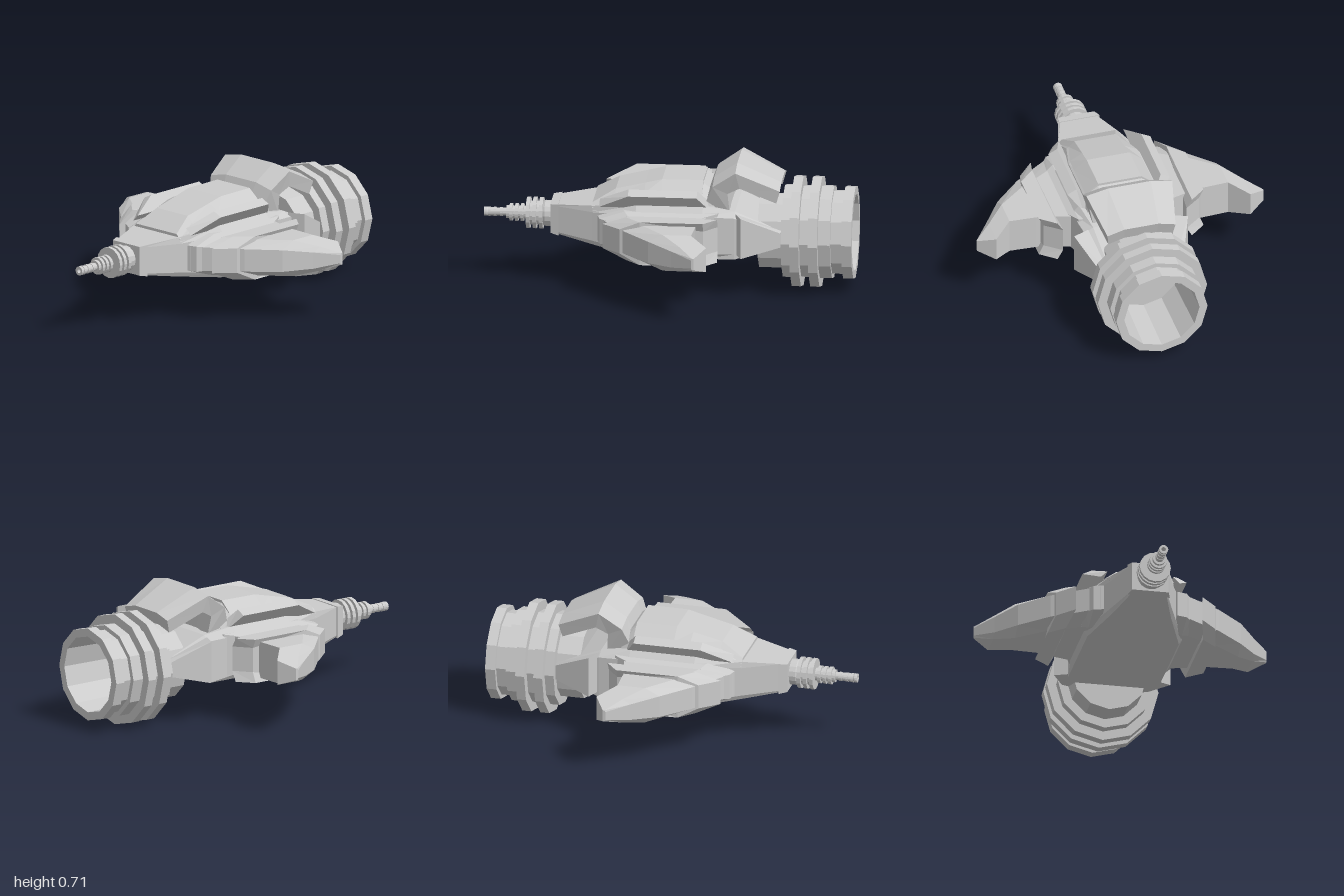
import * as THREE from 'three';

const grey = new THREE.MeshStandardMaterial({ color: 0xcccccc, flatShading: true });
const greyOpen = new THREE.MeshStandardMaterial({ color: 0xcccccc, flatShading: true, side: THREE.DoubleSide });
const black = new THREE.MeshStandardMaterial({ color: 0x080808, flatShading: true });

// Closed solid through matching loops of [x, y, z] points, turned to face outward
function loft(loops) {
  const tris = [];
  const n = loops[0].length;
  for (let i = 0; i + 1 < loops.length; i++) {
    for (let j = 0; j < n; j++) {
      const k = (j + 1) % n;
      const [a, b, c, d] = [loops[i][j], loops[i][k], loops[i + 1][k], loops[i + 1][j]];
      tris.push([a, b, c], [a, c, d]);
    }
  }
  const cap = (loop, flip) => {
    const pts = loop.map(p => new THREE.Vector3(...p));
    const normal = new THREE.Vector3();
    pts.forEach((p, i) => normal.add(p.clone().cross(pts[(i + 1) % n])));
    const axis = ['x', 'y', 'z'].reduce((m, c) => Math.abs(normal[c]) > Math.abs(normal[m]) ? c : m);
    const [u, v] = { x: ['y', 'z'], y: ['z', 'x'], z: ['x', 'y'] }[axis];
    const flat = pts.map(p => new THREE.Vector2(p[u], p[v]));
    for (const f of THREE.ShapeUtils.triangulateShape(flat, [])) {
      const t = f.map(i => loop[i]);
      const m = new THREE.Vector3();
      const [a, b, c] = f.map(i => pts[i]);
      m.crossVectors(b.clone().sub(a), c.clone().sub(a));
      const along = m.dot(normal) > 0;
      tris.push(along === flip ? [t[0], t[2], t[1]] : t);
    }
  };
  cap(loops[0], true);
  cap(loops[loops.length - 1], false);
  let volume = 0;
  for (const [a, b, c] of tris) {
    volume += new THREE.Vector3(...a).dot(new THREE.Vector3(...b).cross(new THREE.Vector3(...c)));
  }
  const flat = tris.flatMap(t => (volume < 0 ? [t[0], t[2], t[1]] : t)).flat();
  const geo = new THREE.BufferGeometry();
  geo.setAttribute('position', new THREE.Float32BufferAttribute(flat, 3));
  geo.computeVertexNormals();
  return geo;
}

// Left-right symmetric loop from one half of [x, y] points, bottom to top
const symmetric = (half, z) => [
  ...half.map(([x, y]) => [x, y, z]),
  ...half.slice().reverse().map(([x, y]) => [-x, y, z]),
];

// Wing section at x: blunt leading edge, bevel, flat trailing face
const wingLoop = ([x, lead, bevel, trail, top, bottom, edgeTop, edgeBottom]) => [
  [x, edgeBottom, lead], [x, edgeTop, lead], [x, top, bevel],
  [x, top, trail], [x, bottom, trail], [x, bottom, bevel],
];

export function createModel() {
  const group = new THREE.Group();
  const add = (name, geo, mat = grey) => {
    const mesh = new THREE.Mesh(geo, mat);
    mesh.name = name;
    group.add(mesh);
    return mesh;
  };
  const pair = (name, loops) => {
    for (const s of [1, -1]) {
      add((s > 0 ? 'left' : 'right') + name, loft(loops.map(l => l.map(([x, y, z]) => [s * x, y, z]))));
    }
  };
  // Stepped tube along z from [radius, z] steps
  const turned = (name, profile, sides, y, mat) => {
    const geo = new THREE.LatheGeometry(profile.map(([r, z]) => new THREE.Vector2(r, z)), sides);
    geo.rotateX(Math.PI / 2);
    add(name, geo, mat).position.y = y;
  };

  // Hull: [z, bottom width, bottom y, side width, side low y, side high y, top width, top y]
  add('hull', loft([
    [0.6, 0.095, 0.28, 0.1, 0.29, 0.435, 0.1, 0.445],
    [0.4, 0.16, 0.245, 0.175, 0.27, 0.43, 0.17, 0.465],
    [0.16, 0.25, 0.21, 0.27, 0.24, 0.45, 0.23, 0.495],
    [-0.2, 0.25, 0.21, 0.27, 0.24, 0.45, 0.23, 0.495],
    [-0.37, 0.25, 0.21, 0.25, 0.24, 0.44, 0.2, 0.465],
    [-0.62, 0.19, 0.275, 0.2, 0.29, 0.34, 0.18, 0.355],
  ].map(([z, wb, yb, w, lo, hi, wt, yt]) => symmetric([[wb, yb], [w, lo], [w, hi], [wt, yt]], z))));

  // Nose plate
  add('nosePlate', loft([
    symmetric([[0.115, 0.275], [0.115, 0.45]], 0.59),
    symmetric([[0.1, 0.285], [0.1, 0.445]], 0.635),
  ]));

  // Nose gun
  const gun = [[0, 0.6], [0.07, 0.6], [0.07, 0.67]];
  const ring = (list, z, inner, outer, width) =>
    list.push([inner, z], [outer, z], [outer, z + width], [inner, z + width]);
  for (const z of [0.68, 0.715, 0.75]) ring(gun, z, 0.065, 0.085, 0.02);
  gun.push([0.035, 0.77]);
  for (const z of [0.785, 0.815, 0.845]) ring(gun, z, 0.035, 0.048, 0.017);
  gun.push([0.035, 0.88], [0.022, 0.88]);
  for (const z of [0.9, 0.935, 0.965]) ring(gun, z, 0.022, 0.025, 0.014);
  gun.push([0.025, 0.985], [0.025, 1], [0.012, 1], [0.012, 0.95], [0, 0.95]);
  turned('noseGun', gun.reverse(), 16, 0.365, greyOpen);

  // Cockpit surround
  add('cockpitFrame', loft([
    [0.4, 0.175, 0.44, 0.17, 0.45, 0.15, 0.46],
    [0.28, 0.2, 0.46, 0.16, 0.51, 0.1, 0.535],
    [0.11, 0.22, 0.47, 0.198, 0.54, 0.115, 0.575],
    [-0.19, 0.22, 0.47, 0.2, 0.545, 0.12, 0.6],
    [-0.26, 0.21, 0.46, 0.19, 0.5, 0.12, 0.54],
  ].map(([z, wb, yb, wm, ym, wt, yt]) => symmetric([[wb, yb], [wm, ym], [wt, yt]], z))));

  // Dark canopy
  add('canopy', loft([
    [0.402, 0.175, 0.455, 0.15, 0.48],
    [0.28, 0.148, 0.52, 0.115, 0.55],
    [0.12, 0.188, 0.55, 0.118, 0.588],
    [0.03, 0.19, 0.552, 0.12, 0.61],
    [-0.192, 0.19, 0.555, 0.12, 0.612],
  ].map(([z, wb, yb, wt, yt]) => symmetric([[wb, yb], [wt, yt]], z))));

  // Rails leaning outward beside the canopy
  const rail = [[0.36, 0], [0.2, 1], [-0.17, 1], [-0.23, 0]];
  pair('CanopyRail', [
    rail.map(([z, t]) => [0.18 + 0.055 * t, 0.51 + 0.073 * t, z]),
    rail.map(([z, t]) => [0.215 + 0.07 * t, 0.475 + 0.083 * t, z]),
  ]);

  // Wings: root plate, inner panel, armour band and swept tip
  pair('WingRoot', [
    wingLoop([0.2, 0.37, 0.24, -0.29, 0.465, 0.235, 0.42, 0.28]),
    wingLoop([0.255, 0.355, 0.22, -0.28, 0.465, 0.235, 0.42, 0.28]),
    wingLoop([0.292, 0.3, 0.2, -0.2, 0.45, 0.245, 0.415, 0.285]),
  ]);
  pair('InnerWing', [
    wingLoop([0.22, 0.365, 0.24, -0.24, 0.45, 0.245, 0.415, 0.285]),
    wingLoop([0.42, 0.23, 0.12, -0.185, 0.45, 0.245, 0.415, 0.285]),
  ]);
  const band = (mid, top, lead, bevel, trail) => [
    [mid, 0.285, lead], [mid, 0.42, lead], [top, 0.47, bevel], [top, 0.47, trail],
    [mid, 0.42, trail], [mid, 0.285, trail], [top, 0.23, trail], [top, 0.23, bevel],
  ];
  pair('WingBand', [band(0.345, 0.375, 0.33, 0.2, -0.29), band(0.435, 0.46, 0.23, 0.12, -0.22)]);
  pair('WingTip', [
    [0.42, 0.225, 0.12, -0.18, 0.45, 0.25, 0.415, 0.29],
    [0.46, 0.2, 0.1, -0.18, 0.45, 0.25, 0.415, 0.29],
    [0.61, 0.06, -0.02, -0.172, 0.45, 0.25, 0.41, 0.29],
    [0.71, -0.075, -0.12, -0.263, 0.415, 0.28, 0.39, 0.3],
    [0.8, -0.19, -0.196, -0.205, 0.38, 0.315, 0.37, 0.325],
  ].map(wingLoop));

  // Tapered flaps beside the tail
  pair('TailFlap', [
    [[0.23, 0.235, -0.375], [0.318, 0.235, -0.41], [0.318, 0.46, -0.41], [0.23, 0.46, -0.375]],
    [[0.19, 0.275, -0.62], [0.235, 0.28, -0.615], [0.235, 0.36, -0.615], [0.19, 0.36, -0.62]],
  ]);

  // Arched spoiler: profile [z, y, half width], folded down at the sides
  const arch = [
    [-0.21, 0.53, 0.195], [-0.25, 0.63, 0.225], [-0.375, 0.715, 0.24], [-0.61, 0.605, 0.19],
    [-0.59, 0.535, 0.18], [-0.395, 0.625, 0.22], [-0.33, 0.59, 0.21], [-0.34, 0.48, 0.19],
  ];
  add('spoiler', loft([-1, -0.5, 0.5, 1].map(s =>
    arch.map(([z, y, w]) => [s * w, y - (Math.abs(s) === 1 ? 0.025 : 0), z]))));

  // Hollow ribbed engine
  const engine = [[0, -0.49], [0.205, -0.49], [0.205, -0.62]];
  for (const [r, a, b] of [
    [0.255, 0.62, 0.67], [0.305, 0.67, 0.72], [0.252, 0.72, 0.77], [0.305, 0.77, 0.82],
    [0.255, 0.82, 0.885], [0.23, 0.885, 0.945], [0.255, 0.945, 1],
  ]) engine.push([r, -a], [r, -b]);
  engine.push([0.21, -1], [0.2, -0.65], [0, -0.65]);
  turned('engine', engine, 12, 0.305, greyOpen);

  return group;
}
